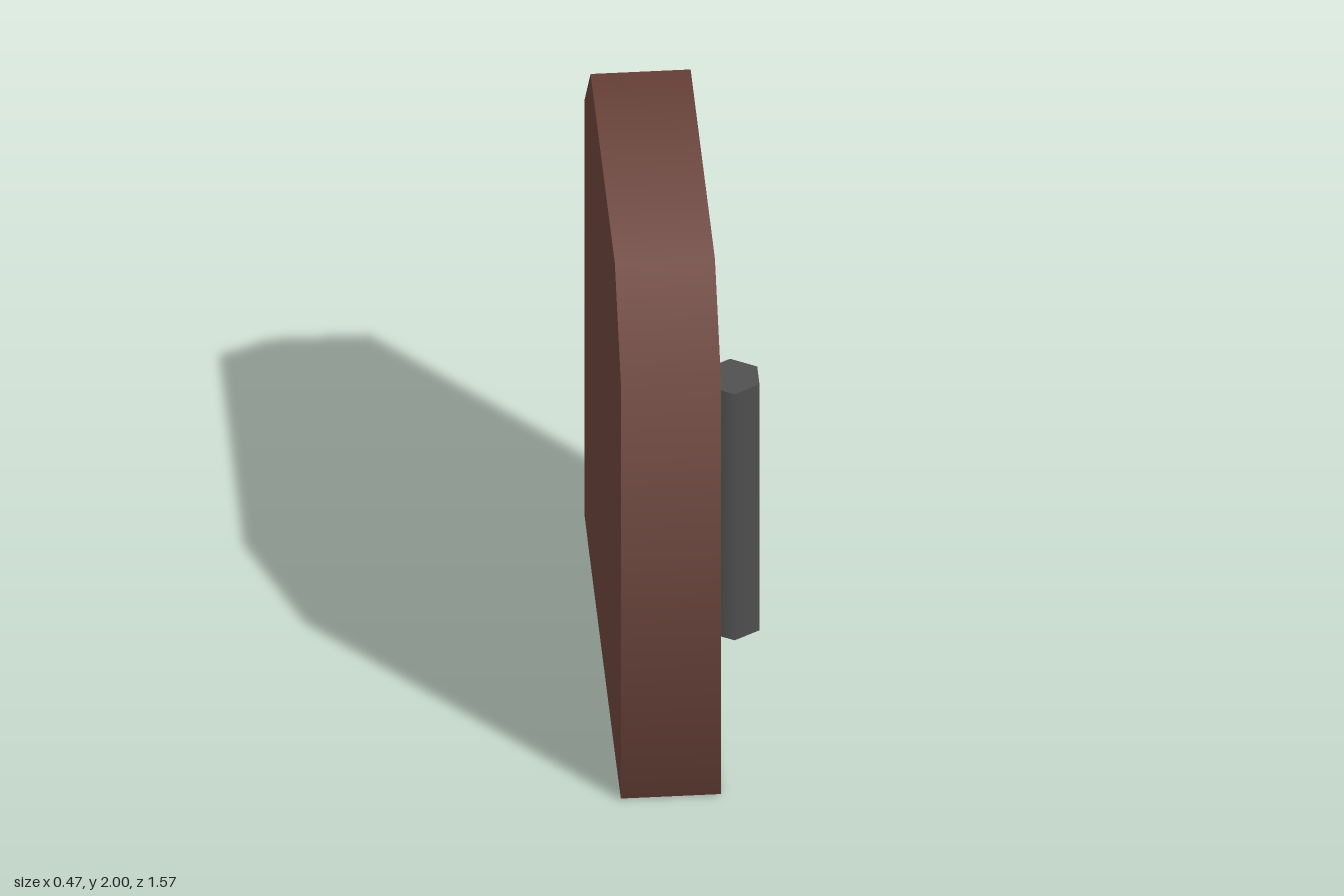
import * as THREE from 'three';

export function createModel() {
  const model = new THREE.Group();
  model.name = 'door';

  const wood = new THREE.MeshStandardMaterial({ color: 0x6b4239 });
  wood.name = 'brown wood';
  const iron = new THREE.MeshStandardMaterial({ color: 0x505050 });
  iron.name = 'dark grey metal';

  // Door slab: an eight-sided cylinder lying along x, its corners pulled out
  // to a tall panel with bevelled top corners; the rim keeps smooth normals
  const slab = new THREE.CylinderGeometry(1, 1, 0.33, 8, 1, false, Math.PI / 8);
  slab.rotateZ(-Math.PI / 2);
  const p = slab.attributes.position;
  for (let i = 0; i < p.count; i++) {
    const y = p.getY(i), z = p.getZ(i);
    let height = 1, depth = 0;
    if (Math.hypot(y, z) > 0.5) {
      const side = Math.abs(z) > Math.abs(y);
      if (y > 0) {
        height = side ? 1.7 : 2;
        depth = side ? 0.787 : 0.525;
      } else {
        height = side ? 0.005 : 0;
        depth = side ? 0.787 : 0.58;
      }
    }
    p.setXYZ(i, p.getX(i) - 0.072, height, Math.sign(z) * depth);
  }
  const panel = new THREE.Mesh(slab, wood);
  panel.name = 'doorPanel';
  model.add(panel);

  // Upright hexagonal handle, partly sunk into the panel
  const handle = new THREE.Mesh(new THREE.CylinderGeometry(0.099, 0.099, 1.005, 6), iron);
  handle.name = 'handle';
  handle.position.set(0.149, 1.027, 0.545);
  model.add(handle);

  return model;
}
